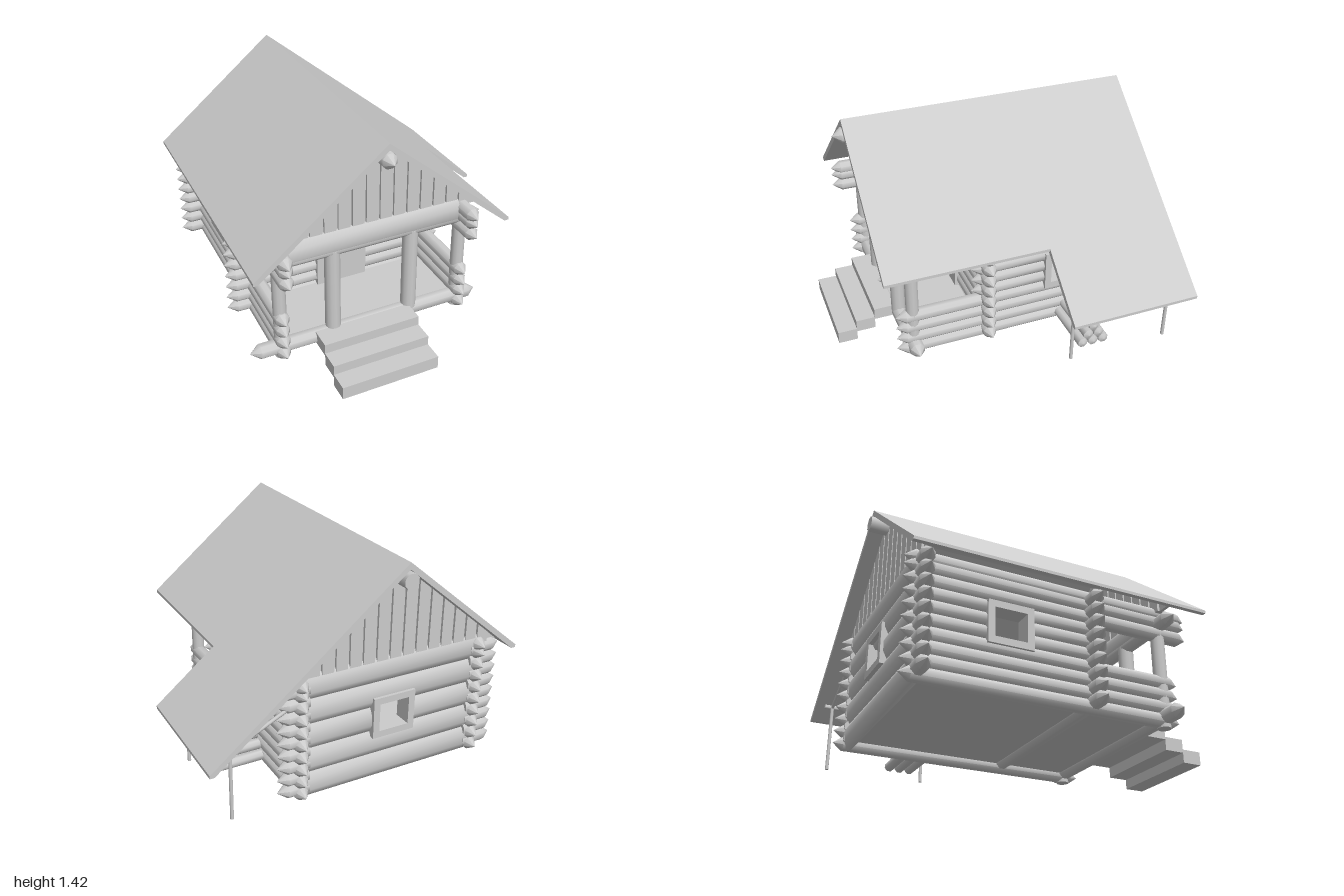
import * as THREE from 'three';
import { toCreasedNormals } from 'three/addons/utils/BufferGeometryUtils.js';

const CX = -0.18, LEFT = 0.395, RIGHT = -0.755;      // cabin middle and side walls
const FRONT = 0.605, INNER = 0.14, BACK = -0.865;    // porch front, door wall, back wall
const STEP = 0.0765, R = 0.043;                      // log spacing and radius
const RIDGE_X = -0.19, RIDGE_Y = 1.42, SLOPE = 0.82, THICK = 0.04;

export function createModel() {
  const root = new THREE.Group();
  const mat = new THREE.MeshStandardMaterial({ color: 0xcccccc });

  function group(name) {
    const g = new THREE.Group();
    g.name = name;
    root.add(g);
    return g;
  }

  function add(parent, name, geo, x = 0, y = 0, z = 0) {
    const m = new THREE.Mesh(geo, mat);
    m.name = name;
    m.position.set(x, y, z);
    parent.add(m);
    return m;
  }

  const box = (parent, name, x0, x1, y0, y1, z0, z1) =>
    add(parent, name, new THREE.BoxGeometry(x1 - x0, y1 - y0, z1 - z0),
      (x0 + x1) / 2, (y0 + y1) / 2, (z0 + z1) / 2);

  // Octagonal log along an axis from a to b, each end pointed by its tip length
  function log(parent, name, axis, a, b, u, v, r = R, tipA = 0.06, tipB = tipA) {
    const h = (b - a) / 2, mid = (a + b) / 2;
    const pts = [[0, -h], [r, -h + tipA], [r, h - tipB], [0, h]].map(p => new THREE.Vector2(...p));
    let geo = new THREE.LatheGeometry(pts, 8);
    geo.rotateY(Math.PI / 8);
    if (axis === 'x') geo.rotateZ(-Math.PI / 2);
    if (axis === 'z') geo.rotateX(Math.PI / 2);
    geo = toCreasedNormals(geo, 0.82);
    if (axis === 'x') return add(parent, name, geo, mid, u, v);
    if (axis === 'z') return add(parent, name, geo, u, v, mid);
    return add(parent, name, geo, u, mid, v);
  }

  // Window opening shared by the side and back walls
  const WIN = { y0: 0.375, y1: 0.625, half: 0.135, z: -0.365 };
  const crossesWindow = (y, r) => y + r > WIN.y0 + 0.03 && y - r < WIN.y1 - 0.03;

  // Side walls: low porch rail, full wall, then top logs over the porch
  for (const [x, name] of [[LEFT, 'leftWall'], [RIGHT, 'rightWall']]) {
    const wall = group(name);
    for (let i = 0; i < 10; i++) {
      const y = i < 9 ? 0.14 + STEP * i : 0.8;
      const front = i < 4 ? 0.71 : i < 7 ? 0.235 : 0.8;
      if (crossesWindow(y, 0.03)) {
        log(wall, 'wallLog', 'z', -0.96, WIN.z - WIN.half + 0.02, x, y, R, 0.06, 0);
        log(wall, 'wallLog', 'z', WIN.z + WIN.half - 0.02, front, x, y, R, 0, 0.06);
      } else log(wall, 'wallLog', 'z', -0.96, front, x, y);
    }
  }

  // Door wall with pointed log ends past both corners
  const doorWall = group('doorWall');
  for (let i = 0; i < 9; i++) log(doorWall, 'wallLog', 'x', -0.925, 0.53, 0.16 + STEP * i, INNER);
  box(doorWall, 'door', -0.35, -0.02, 0.185, 0.645, 0.1, 0.195);

  // Back wall: broad logs between the corners, pointed stubs outside them
  const backWall = group('backWall');
  for (let i = 0; i < 5; i++) {
    const y = 0.176 + 0.152 * i;
    const spans = i === 2
      ? [[RIGHT, CX - WIN.half + 0.02], [CX + WIN.half - 0.02, LEFT]] : [[RIGHT, LEFT]];
    for (const [a, b] of spans) {
      const m = log(backWall, 'broadLog', 'x', a, b, y, BACK, 0.08, 0);
      m.scale.z = 0.5;
    }
  }
  for (let i = 0; i < 9; i++) {
    const y = 0.16 + STEP * i;
    log(backWall, 'cornerStub', 'x', -0.925, RIGHT + 0.05, y, BACK, R, 0.06, 0);
    log(backWall, 'cornerStub', 'x', LEFT - 0.05, 0.53, y, BACK, R, 0, 0.06);
  }

  // Window frames, built facing z and turned for the side walls
  function windowFrame(name, x, z, turn) {
    const g = group(name), h = WIN.half, t = 0.04, d = 0.055;
    for (const s of [-1, 1]) {
      const edge = s * (h - t / 2);
      box(g, 'frameSide', edge - t / 2, edge + t / 2, WIN.y0, WIN.y1, -d, d);
      const y = s < 0 ? WIN.y0 : WIN.y1 - t;
      box(g, 'frameRail', -h + t, h - t, y, y + t, -d, d);
    }
    g.position.set(x, 0, z);
    g.rotation.y = turn;
  }
  windowFrame('backWindow', CX, BACK, 0);
  windowFrame('leftWindow', LEFT, WIN.z, Math.PI / 2);
  windowFrame('rightWindow', RIGHT, WIN.z, Math.PI / 2);

  // Porch: floor, sill, posts and the large front beam
  const porch = group('porch');
  box(porch, 'floor', RIGHT, LEFT, 0.15, 0.185, BACK, FRONT);
  log(porch, 'frontSill', 'x', -0.945, 0.535, 0.16, FRONT, 0.046);
  log(porch, 'topLog', 'x', -0.925, 0.53, 0.735, FRONT, 0.046);
  log(porch, 'frontBeam', 'x', RIGHT + 0.03, LEFT - 0.03, 0.775, FRONT, 0.085, 0).scale.z = 0.6;
  for (const x of [RIGHT, LEFT])
    add(porch, 'cornerPost', new THREE.CylinderGeometry(0.04, 0.04, 0.62, 12), x, 0.405, FRONT);
  for (const x of [-0.43, 0.065])
    add(porch, 'doorPost', new THREE.CylinderGeometry(0.046, 0.046, 0.55, 12), x, 0.455, FRONT);

  // Steps
  const steps = group('steps');
  [[0, 0.08, 0.88, 1], [0.06, 0.14, 0.76, 0.88], [0.125, 0.2, 0.62, 0.76]]
    .forEach(([y0, y1, z0, z1]) => box(steps, 'step', -0.55, 0.055, y0, y1, z0, z1));

  // Roof slabs with level-cut eaves; the left one runs on over the lean-to
  const roof = group('roof');
  function slab(name, edge, z0, z1) {
    const run = Math.abs(edge - RIDGE_X), dir = Math.sign(edge - RIDGE_X);
    const top = RIDGE_Y - SLOPE * run, low = top - 0.018;
    const inX = edge - dir * (THICK - 0.018) / SLOPE;
    const s = new THREE.Shape([[RIDGE_X, RIDGE_Y], [edge, top], [edge, low], [inX, low],
      [RIDGE_X, RIDGE_Y - THICK]].map(p => new THREE.Vector2(...p)));
    add(roof, name, new THREE.ExtrudeGeometry(s, { depth: z1 - z0, bevelEnabled: false }), 0, 0, z0);
  }
  slab('rightSlope', -0.96, -0.98, 0.81);
  slab('leftSlope', 0.595, -0.18, 0.81);
  slab('leanToSlope', 0.96, -0.98, -0.18);
  log(roof, 'ridgePole', 'z', -1, 0.87, RIDGE_X, 1.32, 0.047, 0, 0.055);

  // Gables: a recessed backing with vertical planks on both faces
  const under = x => RIDGE_Y - THICK - SLOPE * Math.abs(x - RIDGE_X);
  const BASE = 0.8;
  function panel(parent, name, x0, x1, depth, z) {
    const pts = [[x0, BASE], [x1, BASE], [x1, Math.max(under(x1), BASE)]];
    if (x0 < RIDGE_X && x1 > RIDGE_X) pts.push([RIDGE_X, under(RIDGE_X)]);
    pts.push([x0, Math.max(under(x0), BASE)]);
    const s = new THREE.Shape(pts.map(p => new THREE.Vector2(...p)));
    add(parent, name, new THREE.ExtrudeGeometry(s, { depth, bevelEnabled: false }), 0, 0, z - depth / 2);
  }
  for (const [z, name] of [[FRONT - 0.005, 'frontGable'], [BACK, 'backGable']]) {
    const g = group(name);
    const reach = (under(RIDGE_X) - BASE) / SLOPE - 0.005;
    panel(g, 'backing', RIDGE_X - reach, RIDGE_X + reach, 0.02, z);
    for (let i = -7; i <= 7; i++) {
      const x = RIDGE_X + i * 0.085;
      panel(g, 'plank', x - 0.036, x + 0.036, 0.05, z);
    }
  }

  // Lean-to supports: posts, sloping braces and the beam under the eave
  const leanTo = group('leanTo');
  const brace = new THREE.LineCurve3(new THREE.Vector3(0.42, 0.705, 0), new THREE.Vector3(0.825, 0.51, 0));
  for (const z of [-0.25, -0.88]) {
    add(leanTo, 'post', new THREE.CylinderGeometry(0.011, 0.011, 0.42, 8), 0.805, 0.31, z);
    add(leanTo, 'brace', new THREE.TubeGeometry(brace, 1, 0.011, 8), 0, 0, z);
  }
  log(leanTo, 'eaveBeam', 'z', -0.93, -0.2, 0.808, 0.522, 0.014, 0);

  // Stacked firewood
  const pile = group('firewood');
  for (let row = 0; row < 3; row++)
    for (let i = 0; i < 3 - row; i++)
      log(pile, 'firewoodLog', 'x', 0.425, 0.79, 0.165 + row * 0.056,
        -0.41 + (i - (2 - row) / 2) * 0.068, 0.032, 0.015);

  return root;
}
